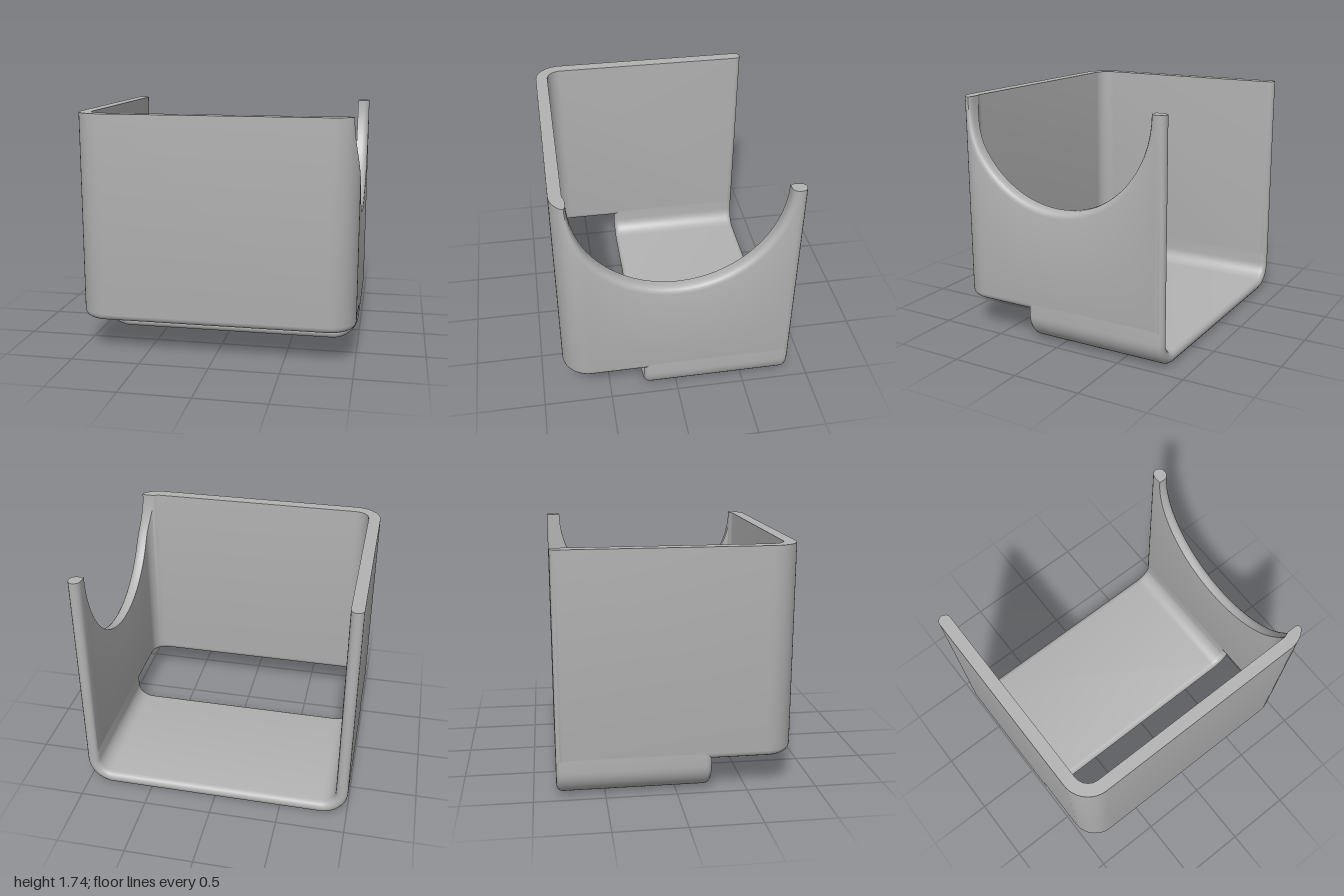
import * as THREE from 'three';
import { toCreasedNormals } from 'three/addons/utils/BufferGeometryUtils.js';

const H = 0.045;        // half of the wall thickness
const N = 8;            // steps across the thickness
const TOP = 1.74, BOTTOM = 0.245, BACK = -0.84;
const BEND = 0.155;     // bend radius at mid thickness
const CX = 0.8, CZ = 0.64, CY = 0.2; // bend centres

// How far a half-round edge falls back at offset u from mid thickness
const round = (u) => H - Math.sqrt(Math.max(0, H * H - u * u));
// Radius of the scooped opening: sharp inside, rounded outside
const scoop = (u) => 0.735 + (u > 0 ? round(u) : 0);

// Closed thick sheet: each column maps offset u to its [low, high] edge points
function sheet(columns) {
  const pos = [], idx = [], M = 2 * (N + 1);
  for (const col of columns) {
    const ends = [];
    for (let k = 0; k <= N; k++) ends.push(col(-H * Math.cos((Math.PI * k) / N)));
    for (let k = 0; k <= N; k++) pos.push(...ends[k][0]);
    for (let k = N; k >= 0; k--) pos.push(...ends[k][1]);
  }
  const quad = (a, b, c, d) => idx.push(a, b, c, a, c, d);
  for (let j = 0; j < columns.length - 1; j++) {
    for (let k = 0; k < M; k++) {
      const n = (k + 1) % M;
      quad(j * M + k, j * M + n, (j + 1) * M + n, (j + 1) * M + k);
    }
  }
  const last = (columns.length - 1) * M;
  for (let k = 0; k < N; k++) {
    quad(k, M - 1 - k, M - 2 - k, k + 1);
    quad(last + k, last + k + 1, last + M - 2 - k, last + M - 1 - k);
  }
  const g = new THREE.BufferGeometry();
  g.setAttribute('position', new THREE.Float32BufferAttribute(pos, 3));
  g.setIndex(idx);
  return toCreasedNormals(g, 0.7);
}

// Upright walls, from the back of the left side round the front to the right
function wallColumns() {
  const cols = [];
  const add = (plan, top = () => TOP) => cols.push((u) => {
    const [x, z] = plan(u);
    return [[x, BOTTOM + round(u), z], [x, top(u), z]];
  });
  // plan position on the left wall and its front bend, found from z
  const leftAngle = (u, z) => Math.asin(Math.min(1, Math.max(0, (z - CZ) / (BEND + u))));
  const bend = (side, a, u) => [side * (CX + (BEND + u) * Math.cos(a)), CZ + (BEND + u) * Math.sin(a)];

  add((u) => [CX + BEND + u, BACK + round(u)]);
  // scooped left side
  const S = 56;
  for (let i = 0; i <= S; i++) {
    const t = Math.PI * (1 - i / S);
    add((u) => {
      const z = scoop(u) * Math.cos(t);
      return z <= CZ ? [CX + BEND + u, z] : bend(1, leftAngle(u, z), u);
    }, (u) => TOP - scoop(u) * Math.sin(t));
  }
  // rest of the left bend
  for (let i = 1; i <= 6; i++) {
    add((u) => {
      const a = leftAngle(u, scoop(u));
      return bend(1, a + (Math.PI / 2 - a) * (i / 6), u);
    });
  }
  // front wall and right bend
  for (let i = 0; i <= 12; i++) add((u) => bend(-1, (Math.PI / 2) * (1 - i / 12), u));
  add((u) => [-CX - BEND - u, BACK + round(u)]);
  return cols;
}

// Floor with upturned sides, rounded at its front and back edges
function floorColumns() {
  const cols = [];
  const add = (path) => cols.push((u) => {
    const [x, y] = path(u);
    return [[x, y, BACK + round(u)], [x, y, 0.25 - round(u)]];
  });
  const bend = (side, a) => add((u) => [side * (CX + (BEND + u) * Math.cos(a)), CY - (BEND + u) * Math.sin(a)]);
  add((u) => [CX + BEND + u, BOTTOM + H]);
  for (let i = 0; i <= 12; i++) bend(1, (Math.PI / 2) * (i / 12));
  for (let i = 12; i >= 0; i--) bend(-1, (Math.PI / 2) * (i / 12));
  add((u) => [-CX - BEND - u, BOTTOM + H]);
  return cols;
}

export function createModel() {
  const grey = new THREE.MeshStandardMaterial({ color: 0xb3b3b3 });
  grey.name = 'grey';
  const group = new THREE.Group();
  group.name = 'holder';
  const parts = { walls: wallColumns(), floor: floorColumns() };
  for (const [name, columns] of Object.entries(parts)) {
    const mesh = new THREE.Mesh(sheet(columns), grey);
    mesh.name = name;
    group.add(mesh);
  }
  return group;
}
